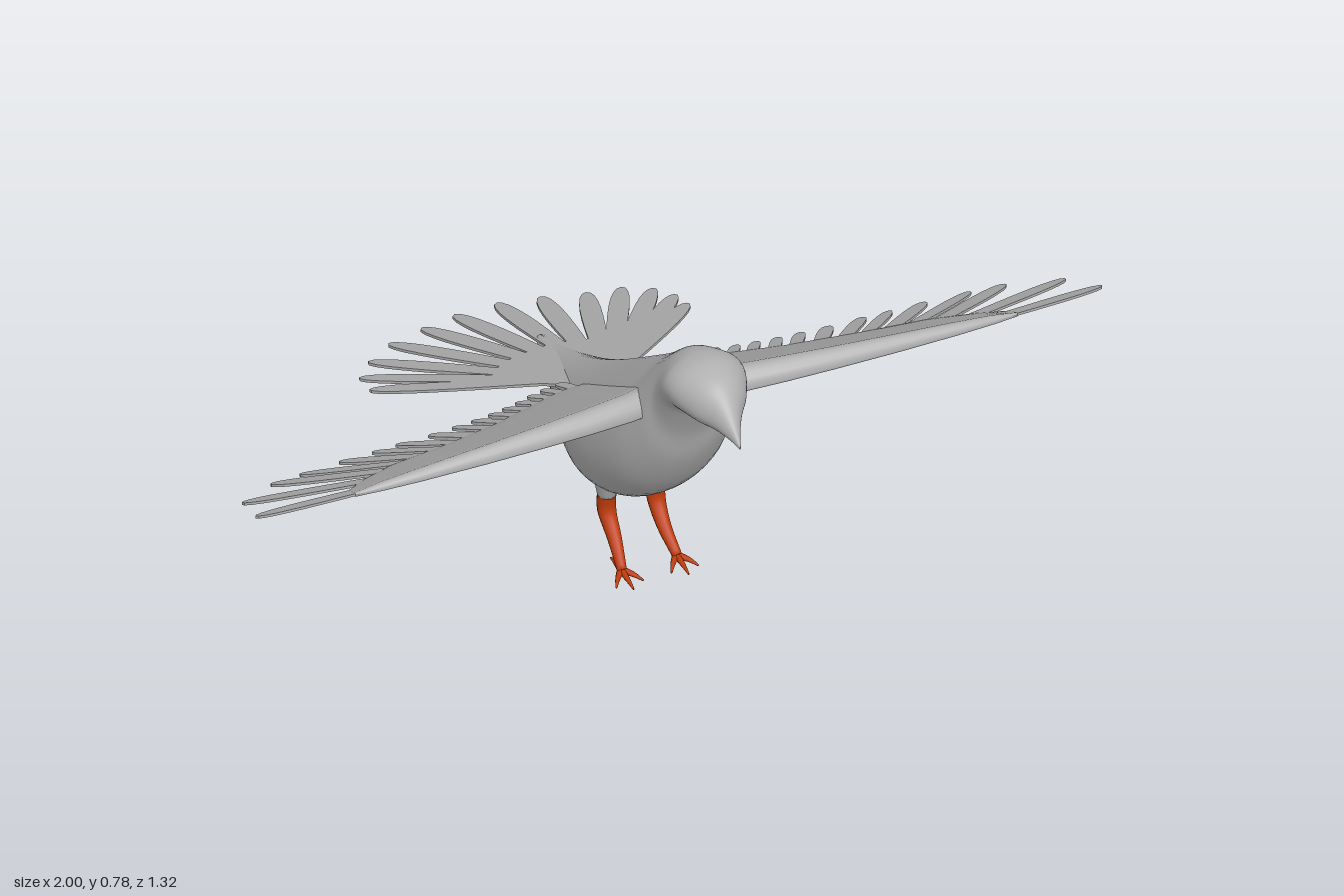
import * as THREE from 'three';

const plumage = new THREE.MeshStandardMaterial({ color: 0xb2b2b2 });
plumage.name = 'greyPlumage';
const legSkin = new THREE.MeshStandardMaterial({ color: 0xbf3c0c });
legSkin.name = 'orangeLegs';

// Skin a list of closed rings (arrays of Vector3) with capped ends, facing outwards
function loft(rings) {
  const n = rings[0].length, pos = [], idx = [];
  rings.forEach(r => r.forEach(p => pos.push(p.x, p.y, p.z)));
  for (let i = 0; i < rings.length - 1; i++) {
    for (let j = 0; j < n; j++) {
      const a = i * n + j, b = i * n + (j + 1) % n;
      idx.push(a, a + n, b, b, a + n, b + n);
    }
  }
  const last = (rings.length - 1) * n;
  for (let j = 1; j < n - 1; j++) idx.push(0, j, j + 1, last, last + j + 1, last + j);
  // flip the winding when the enclosed volume comes out negative
  const at = i => new THREE.Vector3().fromArray(pos, i * 3);
  let volume = 0;
  for (let i = 0; i < idx.length; i += 3) volume += at(idx[i]).dot(at(idx[i + 1]).cross(at(idx[i + 2])));
  if (volume < 0) idx.reverse();
  const g = new THREE.BufferGeometry();
  g.setAttribute('position', new THREE.Float32BufferAttribute(pos, 3));
  g.setIndex(idx);
  g.computeVertexNormals();
  return g;
}

function add(parent, geometry, material, name) {
  const m = new THREE.Mesh(geometry, material);
  m.name = name;
  parent.add(m);
  return m;
}

// Tapered limb: points are [x, y, z, radius]
function limb(points, steps = 12, sides = 12) {
  const path = new THREE.CatmullRomCurve3(points.map(p => new THREE.Vector3(p[0], p[1], p[2])), false, 'catmullrom');
  const frames = path.computeFrenetFrames(steps, false);
  const rings = [];
  for (let i = 0; i <= steps; i++) {
    const u = i / steps, k = path.getUtoTmapping(u) * (points.length - 1);
    const k0 = Math.min(Math.floor(k), points.length - 2);
    const r = THREE.MathUtils.lerp(points[k0][3], points[k0 + 1][3], k - k0);
    const c = path.getPointAt(u), ring = [];
    for (let j = 0; j < sides; j++) {
      const a = j / sides * Math.PI * 2;
      ring.push(c.clone().addScaledVector(frames.normals[i], r * Math.cos(a)).addScaledVector(frames.binormals[i], r * Math.sin(a)));
    }
    rings.push(ring);
  }
  return loft(rings);
}

// Thin plate drawn in plan, then laid on the slope y = height(z)
function plate(shape, height, thick = 0.007) {
  const g = new THREE.ExtrudeGeometry(shape, { depth: thick, bevelEnabled: false, curveSegments: 10 });
  g.rotateX(-Math.PI / 2);
  const p = g.attributes.position;
  for (let i = 0; i < p.count; i++) p.setY(i, p.getY(i) - thick / 2 + height(p.getZ(i)));
  g.computeVertexNormals();
  return g;
}

// Rounded feather from base to tip, both [x, z]
function feather([bx, bz], [tx, tz], baseHalf, half, height) {
  const dx = tx - bx, dy = bz - tz, L = Math.hypot(dx, dy), ux = dx / L, uy = dy / L;
  const at = (l, w) => [bx + ux * l * L - uy * w, -bz + uy * l * L + ux * w];
  const s = new THREE.Shape();
  s.moveTo(...at(0, -baseHalf));
  s.bezierCurveTo(...at(0.5, -half * 0.8), ...at(1, -half * 1.2), ...at(1, 0));
  s.bezierCurveTo(...at(1, half * 1.2), ...at(0.5, half * 0.8), ...at(0, baseHalf));
  return plate(s, height);
}

const wingSlope = z => 0.395 + 0.5 * z;
const tailSlope = z => 0.32 + (z + 0.13) * 0.377;

// Head, beak and body: z, top, bottom, half width, height fraction of widest point
function bodyGeometry() {
  const st = [
    [0.66, 0.67, 0.663, 0.002, 0.5], [0.63, 0.703, 0.664, 0.014, 0.45], [0.59, 0.745, 0.663, 0.036, 0.45],
    [0.55, 0.773, 0.658, 0.064, 0.45], [0.5, 0.785, 0.652, 0.086, 0.5], [0.46, 0.782, 0.632, 0.092, 0.55],
    [0.43, 0.774, 0.58, 0.09, 0.55], [0.4, 0.76, 0.515, 0.092, 0.5], [0.37, 0.737, 0.425, 0.108, 0.45],
    [0.3, 0.672, 0.31, 0.137, 0.44], [0.2, 0.593, 0.215, 0.15, 0.45], [0.1, 0.515, 0.165, 0.147, 0.46],
    [0, 0.44, 0.146, 0.127, 0.48], [-0.1, 0.372, 0.15, 0.098, 0.52], [-0.2, 0.312, 0.168, 0.066, 0.58],
    [-0.3, 0.262, 0.188, 0.036, 0.6], [-0.4, 0.226, 0.203, 0.01, 0.6]
  ];
  const curve = f => new THREE.CatmullRomCurve3(st.map(f), false, 'catmullrom');
  const profile = curve(s => new THREE.Vector3(s[0], s[1], s[2]));
  const girth = curve(s => new THREE.Vector3(s[3], s[4], 0));
  const rings = [], steps = 64, sides = 40;
  for (let i = 0; i <= steps; i++) {
    const { x: z, y: top, z: bot } = profile.getPoint(i / steps);
    const { x: half, y: frac } = girth.getPoint(i / steps);
    const mid = bot + (top - bot) * frac;
    const ridge = 1 + 0.4 * THREE.MathUtils.clamp((0.4 - z) / 0.1, 0, 1);
    const ring = [];
    for (let j = 0; j < sides; j++) {
      const a = j / sides * Math.PI * 2, c = Math.cos(a), s = Math.sin(a);
      const w = Math.max(half, 0.002) * Math.sign(s) * Math.abs(s) ** (c > 0 ? ridge : 1);
      ring.push(new THREE.Vector3(w, mid + c * (c > 0 ? top - mid : mid - bot), z));
    }
    rings.push(ring);
  }
  return loft(rings);
}

// Wing blade: x, leading z, trailing z, thickness
function wingGeometry(side) {
  const st = [
    [0, 0.36, 0, 0.075], [0.09, 0.372, 0, 0.075], [0.13, 0.385, 0.005, 0.07], [0.23, 0.397, 0.06, 0.064],
    [0.34, 0.403, 0.125, 0.056], [0.48, 0.405, 0.18, 0.045], [0.63, 0.4, 0.225, 0.031],
    [0.72, 0.39, 0.28, 0.02], [0.78, 0.378, 0.335, 0.006]
  ];
  const rings = st.map(([x, lead, trail, t]) => {
    const ring = [], n = 14;
    const point = (s, off) => {
      const z = THREE.MathUtils.lerp(lead, trail, s);
      ring.push(new THREE.Vector3(side * x, wingSlope(z) + off, z));
    };
    for (let i = 0; i <= n; i++) {
      const s = (i / n) ** 2;
      point(s, t * (1 - s) * Math.min(1, Math.sqrt(s / 0.12)) + 0.003 * s);
    }
    for (let i = n; i > 0; i--) point((i / n) ** 2, -0.004);
    return ring;
  });
  return loft(rings);
}

// Flight feathers: base x, base z, tip x, tip z, half width
const flight = [
  [0.68, 0.362, 0.998, 0.335, 0.026], [0.66, 0.315, 0.97, 0.2, 0.027], [0.62, 0.28, 0.865, 0.115, 0.027],
  [0.56, 0.26, 0.79, 0.1, 0.022], [0.52, 0.25, 0.69, 0.085, 0.024], [0.47, 0.24, 0.61, 0.08, 0.02],
  [0.43, 0.22, 0.55, 0.072, 0.021], [0.39, 0.2, 0.47, 0.068, 0.021], [0.34, 0.18, 0.41, 0.058, 0.018],
  [0.3, 0.16, 0.36, 0.048, 0.017], [0.26, 0.13, 0.315, 0.035, 0.016], [0.22, 0.11, 0.275, 0.02, 0.016],
  [0.19, 0.09, 0.235, 0, 0.016], [0.16, 0.06, 0.195, -0.025, 0.016], [0.13, 0.04, 0.155, -0.045, 0.016],
  [0.1, 0.03, 0.11, -0.06, 0.016]
];

// Tail feather tips, slightly lopsided
const tailTips = [
  [-0.42, -0.36], [-0.407, -0.445], [-0.35, -0.525], [-0.27, -0.597], [-0.175, -0.635], [-0.087, -0.66],
  [0.013, -0.66], [0.102, -0.628], [0.188, -0.58], [0.26, -0.555], [0.31, -0.5], [0.33, -0.43], [0.328, -0.36]
];

export function createModel() {
  const bird = new THREE.Group();
  bird.name = 'bird';
  add(bird, bodyGeometry(), plumage, 'body');

  // Tail fan
  const tail = new THREE.Group();
  tail.name = 'tail';
  bird.add(tail);
  const hub = new THREE.Shape([new THREE.Vector2(0.07, 0.06), new THREE.Vector2(-0.07, 0.06)]
    .concat(tailTips.map(([x, z]) => new THREE.Vector2(x * 0.45, 0.1 + (-z - 0.1) * 0.42))));
  add(tail, plate(hub, tailSlope), plumage, 'tailBase');
  tailTips.forEach((tip, i) => {
    const k = i / (tailTips.length - 1) * 2 - 1;
    add(tail, feather([k * 0.08, -0.11], tip, 0.012, 0.029, tailSlope), plumage, 'tailFeather');
  });

  for (const side of [1, -1]) {
    const label = side > 0 ? 'left' : 'right';

    // Wing with its feathers
    const wing = new THREE.Group();
    wing.name = label + 'Wing';
    bird.add(wing);
    add(wing, wingGeometry(side), plumage, 'wingBlade');
    for (const [bx, bz, tx, tz, w] of flight) {
      add(wing, feather([side * bx, bz], [side * tx, tz], w * 0.7, w, wingSlope), plumage, 'flightFeather');
    }

    // Thigh, leg and toes
    const leg = new THREE.Group();
    leg.name = label + 'Leg';
    bird.add(leg);
    const x = side * 0.058, f = side * 0.065;
    add(leg, limb([[x, 0.25, 0.1, 0.045], [x, 0.2, 0.09, 0.032], [x, 0.155, 0.083, 0.022]]), plumage, 'thigh');
    add(leg, limb([[x, 0.17, 0.085, 0.021], [x, 0.11, 0.083, 0.021], [x, 0.06, 0.125, 0.016],
      [f, 0.014, 0.18, 0.011]], 20), legSkin, 'shank');
    for (const [dx, z] of [[-0.032, 0.222], [0, 0.242], [0.032, 0.222], [0, 0.12]]) {
      add(leg, limb([[f, 0.011, 0.175, 0.009], [f + dx * 0.55, 0.011, (0.175 + z) / 2, 0.006],
        [f + dx, 0.006, z, 0.002]], 6, 8), legSkin, 'toe');
    }
  }
  return bird;
}
